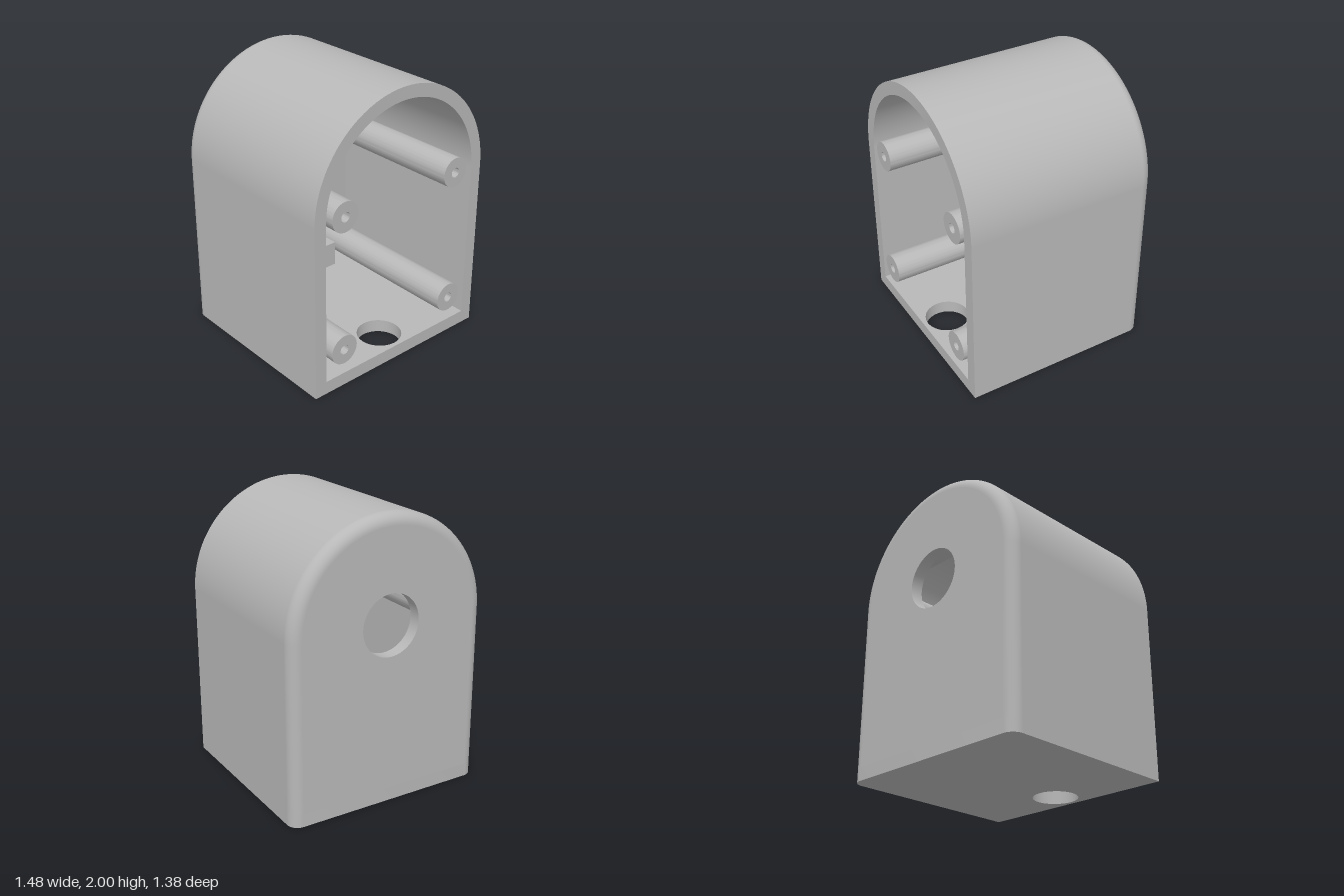
import * as THREE from 'three';
import { toCreasedNormals } from 'three/addons/utils/BufferGeometryUtils.js';

const W = 0.74, D = 0.69, WALL = 0.09, FILLET = 0.08; // half width, half depth
const ARC_Y = 1.26; // centre height of the round top
const BACK = -D + WALL; // inner face of the back wall
const FLOOR = 0.095;
const ARC_STEPS = 64;

// Arch outline from the right foot, over the top, to the left foot
function archPoints(half) {
  const pts = [new THREE.Vector2(half, FLOOR)];
  for (let i = 0; i <= ARC_STEPS; i++) {
    const a = (Math.PI * i) / ARC_STEPS;
    pts.push(new THREE.Vector2(half * Math.cos(a), ARC_Y + half * Math.sin(a)));
  }
  pts.push(new THREE.Vector2(-half, FLOOR));
  return pts;
}

// Skin through arch cross-sections, each [half width, z], front to back
function archSkin(sections, inward) {
  const pos = [], index = [];
  const n = ARC_STEPS + 3;
  for (const [half, z] of sections) {
    for (const p of archPoints(half)) pos.push(p.x, p.y, z);
  }
  for (let k = 0; k < sections.length - 1; k++) {
    for (let i = 0; i < n - 1; i++) {
      const a = k * n + i, b = a + 1, c = a + n, d = c + 1;
      if (inward) index.push(a, b, c, b, d, c);
      else index.push(a, c, b, b, c, d);
    }
  }
  const geo = new THREE.BufferGeometry();
  geo.setAttribute('position', new THREE.Float32BufferAttribute(pos, 3));
  geo.setIndex(index);
  geo.computeVertexNormals();
  return geo;
}

function addHole(shape, x, y, r) {
  shape.holes.push(new THREE.Path().absarc(x, y, r, 0, Math.PI * 2, true));
  return shape;
}

function extrude(shape, depth) {
  const geo = new THREE.ExtrudeGeometry(shape, { depth, bevelEnabled: false, curveSegments: 40 });
  return toCreasedNormals(geo, 0.6);
}

export function createModel() {
  const group = new THREE.Group();
  group.name = 'archedEnclosure';
  const grey = new THREE.MeshStandardMaterial({ color: 0xb8b8b8 });
  grey.name = 'grey';

  function add(name, geo, x = 0, y = 0, z = 0) {
    const mesh = new THREE.Mesh(geo, grey);
    mesh.name = name;
    mesh.position.set(x, y, z);
    group.add(mesh);
    return mesh;
  }

  // Outer skin, rounded over toward the back wall
  const sections = [[W, D]];
  for (let i = 0; i <= 12; i++) {
    const a = (Math.PI / 2) * (i / 12);
    sections.push([W - FILLET * (1 - Math.cos(a)), -D + FILLET * (1 - Math.sin(a))]);
  }
  add('outerShell', archSkin(sections, false));

  // Inner skin and the front rim between the two
  add('innerShell', archSkin([[W - WALL, D], [W - WALL, BACK]], true));
  const rim = new THREE.Shape([...archPoints(W), ...archPoints(W - WALL).reverse()]);
  add('frontRim', new THREE.ShapeGeometry(rim), 0, 0, D);

  // Back wall with its large round opening
  const back = addHole(new THREE.Shape(archPoints(W - FILLET)), 0, ARC_Y + 0.005, 0.215);
  add('backWall', extrude(back, WALL), 0, 0, -D);

  // Floor slab with rounded back corners and a round opening near the front
  const floor = new THREE.Shape();
  floor.moveTo(-W, -D);
  floor.lineTo(W, -D);
  floor.lineTo(W, D - FILLET);
  floor.absarc(W - FILLET, D - FILLET, FILLET, 0, Math.PI / 2, false);
  floor.lineTo(-W + FILLET, D);
  floor.absarc(-W + FILLET, D - FILLET, FILLET, Math.PI / 2, Math.PI, false);
  floor.closePath();
  addHole(floor, 0, -0.5, 0.158);
  add('floor', extrude(floor, FLOOR).rotateX(-Math.PI / 2));

  // Four long screw posts reaching from the back wall to the front
  const ring = new THREE.Shape().absarc(0, 0, 0.107, 0, Math.PI * 2, false);
  const postGeo = extrude(addHole(ring, 0, 0, 0.035), D - BACK);
  for (const x of [-0.492, 0.492]) {
    for (const y of [0.28, 1.265]) add('screwPost', postGeo, x, y, BACK);
  }

  // Two mounting blocks on the back wall, each with a pair of holes
  for (const [name, y, holeY] of [['lowerBlock', 0.115, 0.19], ['upperBlock', 1.595, 1.715]]) {
    const block = new THREE.Shape([
      new THREE.Vector2(-0.37, y), new THREE.Vector2(0.37, y),
      new THREE.Vector2(0.37, y + 0.195), new THREE.Vector2(-0.37, y + 0.195),
    ]);
    for (const x of [-0.154, 0.154]) addHole(block, x, holeY, 0.036);
    add(name, extrude(block, 0.195), 0, 0, BACK);
  }

  return group;
}
